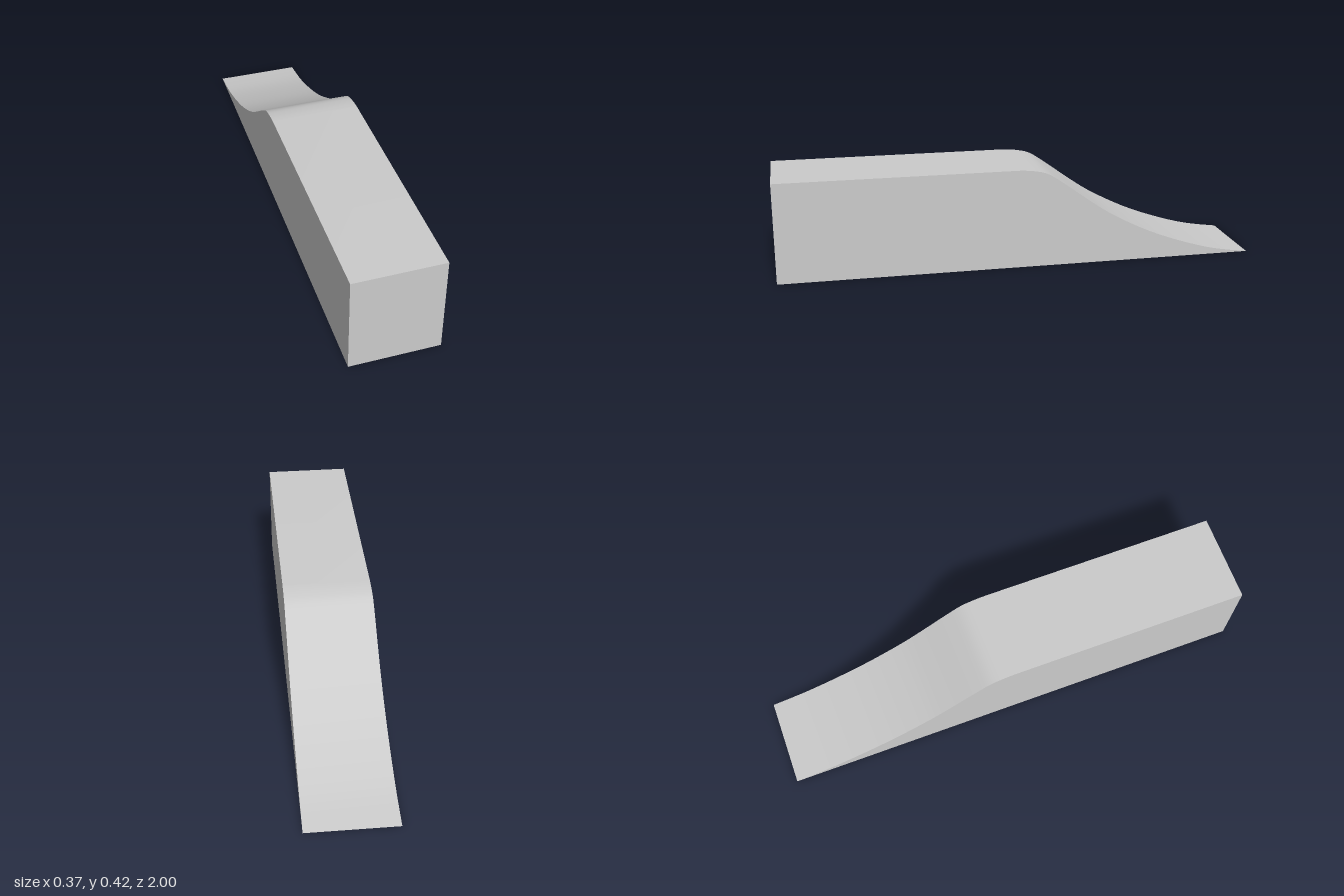
import * as THREE from 'three';
import { toCreasedNormals } from 'three/addons/utils/BufferGeometryUtils.js';

const WIDTH = 0.366;
const HEIGHT = 0.417;

export function createModel() {
  const group = new THREE.Group();
  group.name = 'ramp';

  // Side profile as (z, y): level deck, rounded crest, then a concave slope to a thin edge
  const profile = new THREE.Shape();
  profile.moveTo(-1, 0);
  profile.lineTo(1, 0);
  profile.lineTo(1, HEIGHT);
  profile.lineTo(0, HEIGHT);
  profile.splineThru([
    [-0.05, 0.412], [-0.11, 0.397], [-0.18, 0.352], [-0.3, 0.265], [-0.4, 0.2],
    [-0.55, 0.124], [-0.7, 0.067], [-0.85, 0.024], [-1, 0],
  ].map(([z, y]) => new THREE.Vector2(z, y)));

  // Extrude across the width and turn the profile to run along z
  const geometry = new THREE.ExtrudeGeometry(profile, {
    depth: WIDTH, bevelEnabled: false, curveSegments: 3,
  });
  geometry.translate(0, 0, -WIDTH / 2);
  geometry.rotateY(-Math.PI / 2);

  const body = new THREE.Mesh(
    toCreasedNormals(geometry, 0.6),
    new THREE.MeshStandardMaterial({ color: 0xcccccc }),
  );
  body.name = 'rampBody';
  group.add(body);
  return group;
}
